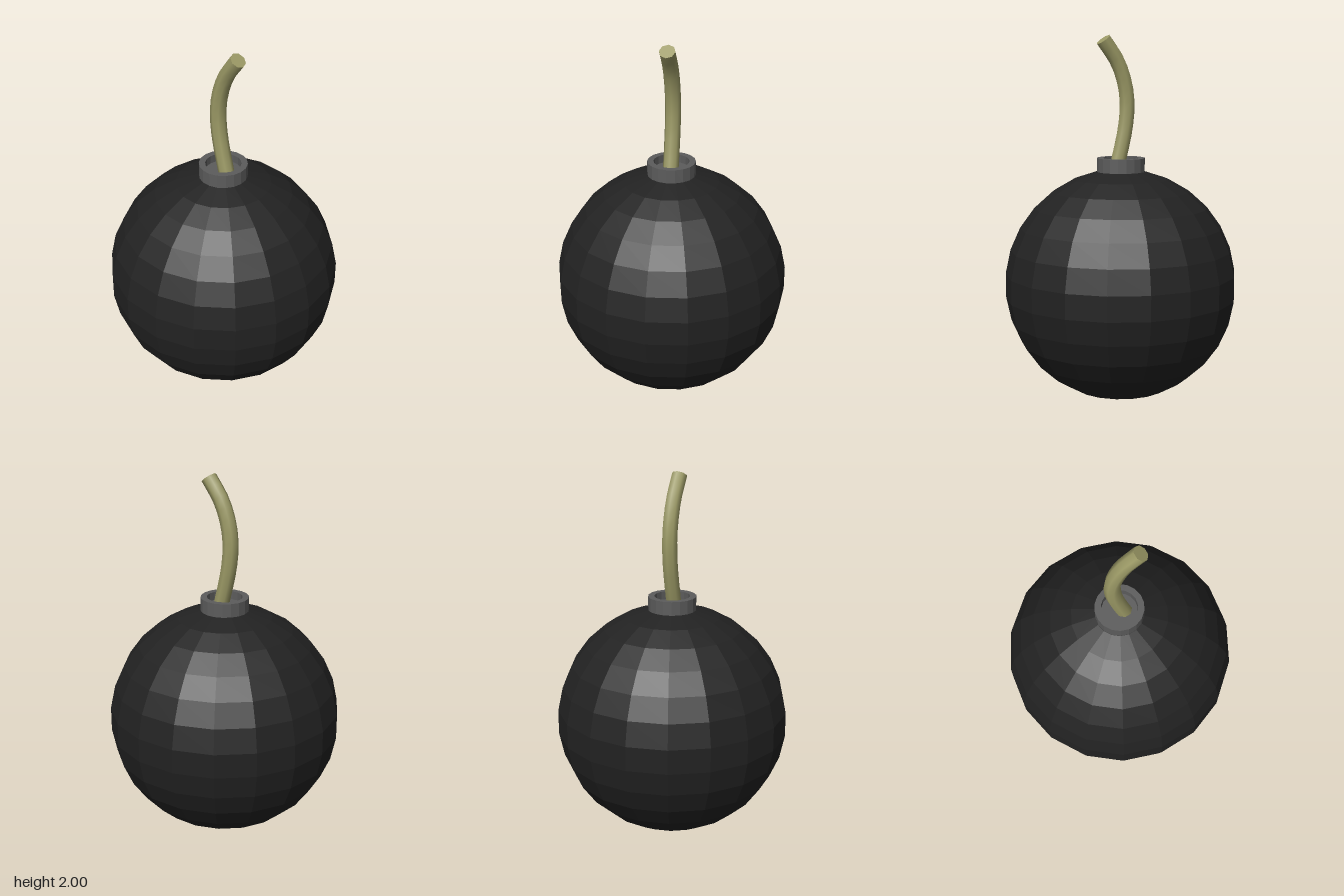
import * as THREE from 'three';

const SIDES = 18;
const BODY_R = 0.637;

function part(name, geometry, color, flatShading) {
  const mesh = new THREE.Mesh(geometry, new THREE.MeshStandardMaterial({ color, flatShading }));
  mesh.name = name;
  return mesh;
}

// Fuse: a tube bending forward at the tip, with a flat cap at each end
function createFuse() {
  const radius = 0.043, sides = 8, color = 0x9c9a66;
  const path = new THREE.CatmullRomCurve3([
    [1.28, 0.025], [1.4, -0.006], [1.52, -0.03], [1.64, -0.037],
    [1.75, -0.02], [1.86, 0.023], [1.97, 0.102],
  ].map(([y, z]) => new THREE.Vector3(0, y, z)));

  const fuse = new THREE.Group();
  fuse.name = 'fuse';
  fuse.add(part('fuseCord', new THREE.TubeGeometry(path, 12, radius, sides), color, false));
  for (const [name, t, dir] of [['fuseTip', 1, 1], ['fuseBase', 0, -1]]) {
    const cap = part(name, new THREE.CircleGeometry(radius, sides), color, true);
    cap.position.copy(path.getPointAt(t));
    cap.quaternion.setFromUnitVectors(
      new THREE.Vector3(0, 0, 1), path.getTangentAt(t).multiplyScalar(dir));
    fuse.add(cap);
  }
  return fuse;
}

export function createModel() {
  const model = new THREE.Group();
  model.name = 'bomb';

  // Faceted round body, with a column of vertices facing front
  const sphere = new THREE.SphereGeometry(BODY_R, SIDES, 15);
  sphere.rotateY(Math.PI / 2);
  sphere.translate(0, BODY_R, 0);
  model.add(part('body', sphere, 0x222222, true));

  // Collar: outer wall, rim, inner wall and recessed floor
  const profile = [[0.131, 1.255], [0.131, 1.335], [0.097, 1.335], [0.097, 1.29], [0, 1.29]]
    .map(([r, y]) => new THREE.Vector2(r, y));
  model.add(part('collar', new THREE.LatheGeometry(profile, SIDES), 0x5c5c5c, true));

  model.add(createFuse());
  return model;
}
